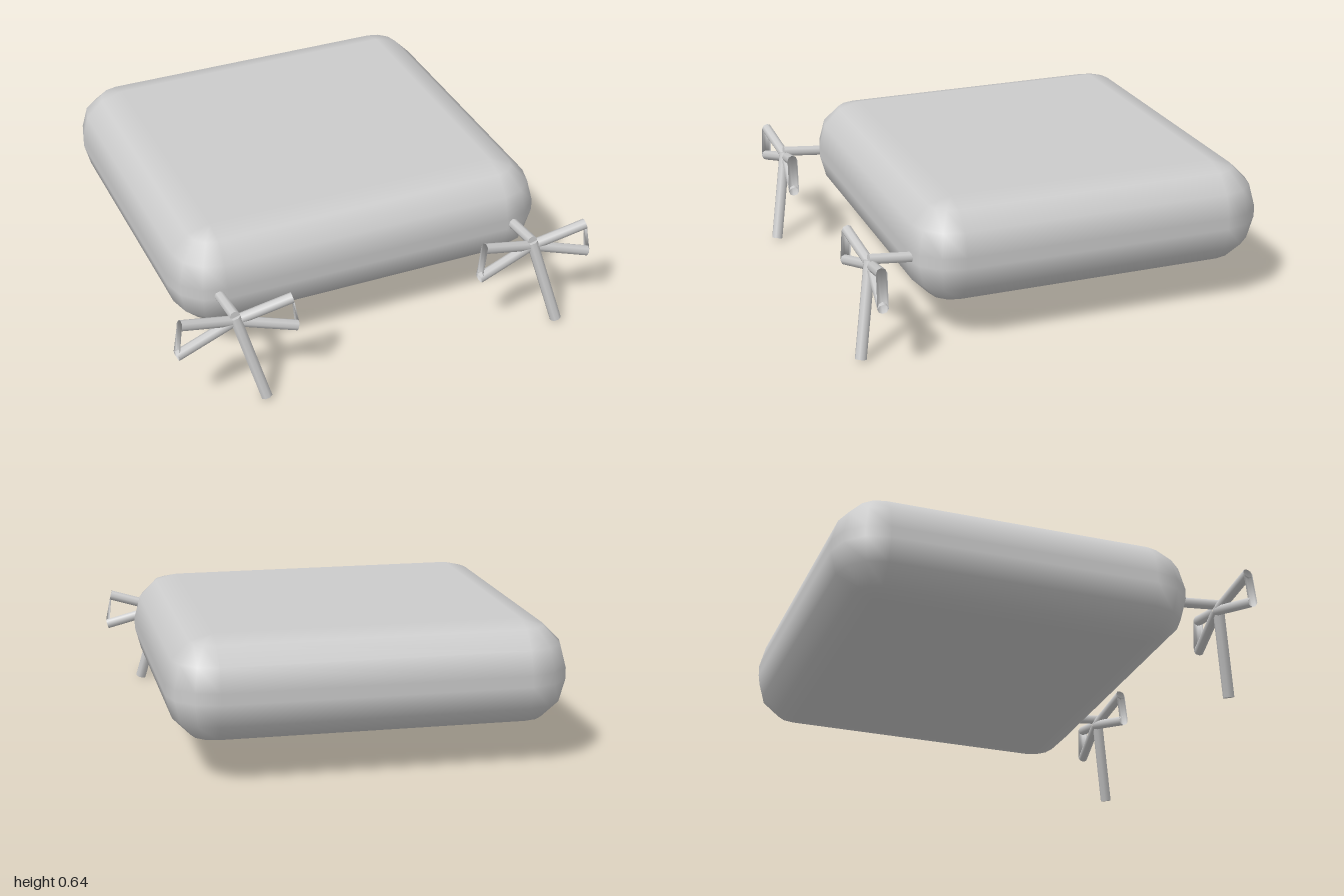
import * as THREE from 'three';

const V = (x, y, z) => new THREE.Vector3(x, y, z);

// Skins equal-length rings of { p, n } (counter-clockwise about the direction of travel)
function skin(rings, extraFaces = []) {
  const count = rings[0].length;
  const pos = [], nor = [], idx = [];
  rings.forEach(ring => ring.forEach(({ p, n }) => {
    pos.push(p.x, p.y, p.z);
    nor.push(n.x, n.y, n.z);
  }));
  for (let j = 0; j < rings.length - 1; j++) {
    for (let i = 0; i < count; i++) {
      const a = j * count + i, b = j * count + (i + 1) % count;
      idx.push(a, b, a + count, b, b + count, a + count);
    }
  }
  idx.push(...extraFaces);
  const g = new THREE.BufferGeometry();
  g.setAttribute('position', new THREE.Float32BufferAttribute(pos, 3));
  g.setAttribute('normal', new THREE.Float32BufferAttribute(nor, 3));
  g.setIndex(idx);
  return g;
}

// Box with rounded edges, three facets per quarter turn
function cushionGeometry(w, h, d, r) {
  const corners = [[1, -1], [-1, -1], [-1, 1], [1, 1]];
  const rings = [];
  for (const side of [-1, 1]) {
    for (let k = 0; k <= 3; k++) {
      const lat = (side < 0 ? k - 3 : k) * Math.PI / 6;
      const ring = [];
      corners.forEach(([sx, sz], q) => {
        for (let i = 0; i <= 3; i++) {
          const a = (q * 3 + i) * Math.PI / 6;
          const n = V(Math.cos(a) * Math.cos(lat), Math.sin(lat), -Math.sin(a) * Math.cos(lat));
          const core = V(sx * (w / 2 - r), side * (h / 2 - r), sz * (d / 2 - r));
          ring.push({ p: core.addScaledVector(n, r), n });
        }
      });
      rings.push(ring);
    }
  }
  const t = 7 * 16; // first index of the top ring
  return skin(rings, [0, 8, 4, 0, 12, 8, t, t + 4, t + 8, t, t + 8, t + 12]);
}

// Round section square to a direction
function section(center, dir, r, sides = 8) {
  const n = dir.clone().normalize();
  const u = V(0, 0, 1).addScaledVector(n, -n.z).normalize();
  const v = n.clone().cross(u);
  return Array.from({ length: sides }, (_, i) => {
    const a = i / sides * Math.PI * 2;
    const out = u.clone().multiplyScalar(Math.cos(a)).addScaledVector(v, Math.sin(a));
    return { p: center.clone().addScaledVector(out, r), n: out };
  });
}

// Straight capped cord between two points
function cord(from, to, r, material, name) {
  const dir = to.clone().sub(from);
  const mesh = new THREE.Mesh(new THREE.CylinderGeometry(r, r, dir.length(), 8), material);
  mesh.position.copy(from).add(to).multiplyScalar(0.5);
  mesh.quaternion.setFromUnitVectors(V(0, 1, 0), dir.normalize());
  mesh.name = name;
  return mesh;
}

export function createModel() {
  const group = new THREE.Group();
  group.name = 'seatCushion';
  const fabric = new THREE.MeshStandardMaterial({ color: 0xcccccc });
  fabric.name = 'light grey fabric';

  const cushion = new THREE.Mesh(cushionGeometry(1.78, 0.47, 1.655, 0.21), fabric);
  cushion.name = 'cushion';
  cushion.position.set(0, 0.405, -0.142);
  group.add(cushion);

  // Tied bows on the front corners, both facing the same way
  for (const x of [-0.714, 0.714]) {
    const bow = new THREE.Group();
    bow.name = x > 0 ? 'leftBow' : 'rightBow';
    bow.position.x = x;
    bow.add(cord(V(0, 0.397, 0.66), V(0, 0.416, 0.86), 0.024, fabric, 'stem'));
    bow.add(cord(V(0, 0.41, 0.855), V(0.107, 0.008, 0.938), 0.026, fabric, 'tail'));

    // Loops: out along the upper strand, folded down, back along the lower strand
    const knot = V(0, 0.385, 0.848);
    for (const s of [-1, 1]) {
      const upper = V(s * 0.255, 0.457, 0.88);
      const lower = V(s * 0.275, 0.306, 0.884);
      const out = upper.clone().sub(knot), back = knot.clone().sub(lower);
      const loop = new THREE.Mesh(skin([
        section(knot, out, 0.024), section(upper, out, 0.024),
        section(lower, back, 0.024), section(knot, back, 0.024),
      ]), fabric);
      loop.name = s > 0 ? 'leftLoop' : 'rightLoop';
      bow.add(loop);
    }
    group.add(bow);
  }
  return group;
}
